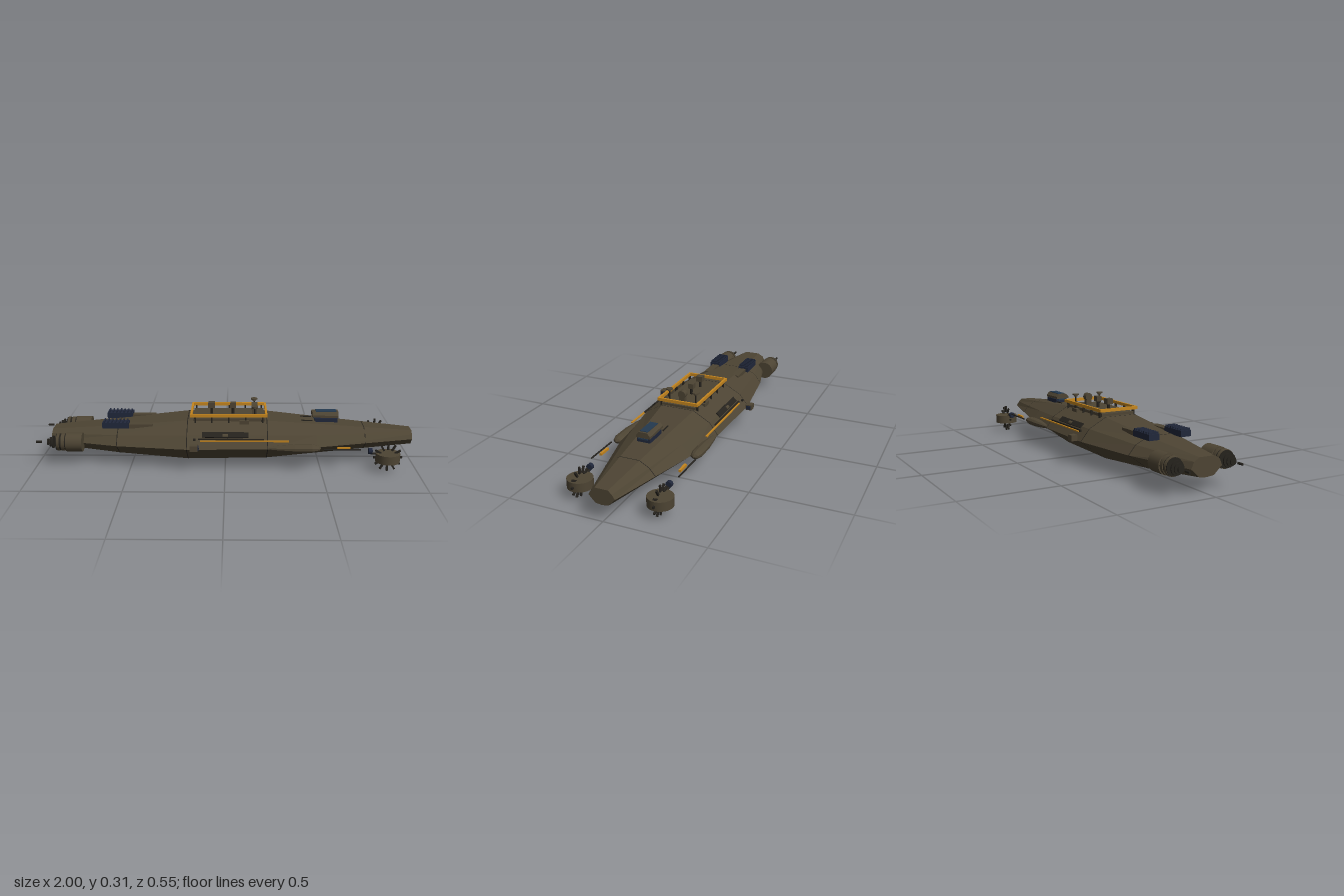
import * as THREE from 'three';

const mat = (name, hex) => Object.assign(new THREE.MeshStandardMaterial({ color: hex }), { name });

export function createModel() {
  const root = new THREE.Group();
  root.name = 'submarine';
  const hullMat = mat('olive hull', 0x4d4433);
  const trimMat = mat('dark metal', 0x25221d);
  const orangeMat = mat('orange trim', 0xc4851e);
  const navyMat = mat('navy equipment', 0x20273a);
  const glassMat = mat('blue glass', 0x24394f);

  const add = (name, geo, m, x = 0, y = 0, z = 0, parent = root) => {
    const mesh = new THREE.Mesh(geo, m);
    mesh.name = name;
    mesh.position.set(x, y, z);
    parent.add(mesh);
    return mesh;
  };
  const box = (name, m, sx, sy, sz, x, y, z) => add(name, new THREE.BoxGeometry(sx, sy, sz), m, x, y, z);
  const cylX = (name, m, r0, r1, len, x, y, z, n = 20) =>
    add(name, new THREE.CylinderGeometry(r0, r1, len, n).rotateZ(-Math.PI / 2), m, x, y, z);
  const cylY = (name, m, r, h, x, y, z, n = 20) =>
    add(name, new THREE.CylinderGeometry(r, r, h, n), m, x, y, z);

  // Faceted loft through closed rings running bottom, +z, top, -z
  function loft(rings, caps = true) {
    const p = [];
    const n = rings[0].length;
    const tri = (...v) => v.forEach((q) => p.push(...q));
    for (let i = 0; i < rings.length - 1; i++) {
      for (let j = 0; j < n; j++) {
        const k = (j + 1) % n;
        const a = rings[i][j], b = rings[i + 1][j], c = rings[i + 1][k], d = rings[i][k];
        tri(a, b, c, a, c, d);
      }
    }
    if (caps) {
      const first = rings[0], last = rings[rings.length - 1];
      for (let j = 1; j < n - 1; j++) {
        tri(first[0], first[j], first[j + 1]);
        tri(last[0], last[j + 1], last[j]);
      }
    }
    const g = new THREE.BufferGeometry();
    g.setAttribute('position', new THREE.Float32BufferAttribute(p, 3));
    g.computeVertexNormals();
    return g;
  }

  // Hull stations: x, deck half width, deck y, shoulder z, y, beam z, y, keel half width, keel y
  const stations = [
    [-0.93, 0.04, 0.17, 0.07, 0.153, 0.085, 0.12, 0.04, 0.075],
    [-0.57, 0.07, 0.2, 0.14, 0.167, 0.18, 0.12, 0.07, 0.04],
    [-0.2, 0.09, 0.235, 0.185, 0.183, 0.235, 0.122, 0.09, 0.015],
    [0.22, 0.09, 0.235, 0.18, 0.183, 0.225, 0.122, 0.09, 0.022],
    [0.48, 0.068, 0.212, 0.145, 0.173, 0.195, 0.123, 0.072, 0.044],
    [1.0, 0.033, 0.165, 0.052, 0.148, 0.066, 0.125, 0.033, 0.085],
  ];
  const ring = ([x, t, ty, s, sy, w, wy, b, by], grow = 0) => {
    const half = [[b, by + 0.005 - grow], [w + grow, wy], [s + grow, sy + grow], [t, ty + grow]];
    return [
      [x, by - grow, 0],
      ...half.map(([z, y]) => [x, y, z]),
      [x, ty + grow, 0],
      ...half.reverse().map(([z, y]) => [x, y, -z]),
    ];
  };
  const at = (x) => {
    let i = 0;
    while (i < stations.length - 2 && x > stations[i + 1][0]) i++;
    const a = stations[i], b = stations[i + 1], f = (x - a[0]) / (b[0] - a[0]);
    return a.map((v, k) => v + (b[k] - v) * f);
  };
  add('hull', loft(stations.map((s) => ring(s))), hullMat);
  // Plate seams around the hull
  for (const x of [-0.57, -0.2, 0.22, 0.74]) {
    add('hullSeam', loft([ring(at(x - 0.002), 0.001), ring(at(x + 0.002), 0.001)], false), trimMat);
  }

  // Raised bridge deck
  box('bridge', hullMat, 0.38, 0.06, 0.19, 0.018, 0.217, 0);

  // Orange rail as a frame, on short posts
  const frame = new THREE.Shape();
  frame.moveTo(-0.203, -0.113).lineTo(0.203, -0.113).lineTo(0.203, 0.113).lineTo(-0.203, 0.113).closePath();
  const gap = new THREE.Path();
  gap.moveTo(-0.192, -0.102).lineTo(-0.192, 0.102).lineTo(0.192, 0.102).lineTo(0.192, -0.102).closePath();
  frame.holes.push(gap);
  add('bridgeRail', new THREE.ExtrudeGeometry(frame, { depth: 0.016, bevelEnabled: false })
    .rotateX(-Math.PI / 2), orangeMat, 0.018, 0.259, 0);
  for (const s of [1, -1]) {
    for (let i = 0; i < 5; i++) box('railPost', trimMat, 0.008, 0.04, 0.012, -0.16 + i * 0.089, 0.242, s * 0.1);
  }

  // Bridge instruments
  box('bridgeConsole', hullMat, 0.036, 0.03, 0.036, -0.075, 0.295, 0);
  cylY('consoleStem', trimMat, 0.008, 0.04, -0.075, 0.263, 0, 10);
  box('bridgeConsole', hullMat, 0.03, 0.028, 0.03, 0.04, 0.294, 0);
  cylY('consoleStem', trimMat, 0.008, 0.04, 0.04, 0.263, 0, 10);
  cylX('searchlight', hullMat, 0.021, 0.021, 0.03, 0.155, 0.289, 0);
  box('searchlightBase', hullMat, 0.026, 0.03, 0.03, 0.155, 0.26, 0);
  for (const s of [1, -1]) {
    cylY('mastPole', trimMat, 0.004, 0.065, 0.155, 0.275, s * 0.075, 10);
    cylY('mastCollar', hullMat, 0.01, 0.005, 0.155, 0.299, s * 0.075);
    cylY('mastCap', hullMat, 0.018, 0.006, 0.155, 0.307, s * 0.075);
  }

  // Forward cabin with glazed roof
  box('cabinBase', navyMat, 0.12, 0.022, 0.07, 0.54, 0.22, 0);
  box('cabinSill', glassMat, 0.135, 0.007, 0.05, 0.54, 0.229, 0);
  const cab = (x, w, y) => [[x, y, 0], [x, y, w], [x, y + 0.012, w], [x, 0.262, w * 0.6],
    [x, 0.262, -w * 0.6], [x, y + 0.012, -w], [x, y, -w]];
  add('cabin', loft([cab(0.465, 0.037, 0.236), cab(0.605, 0.037, 0.232)]), hullMat);
  box('cabinGlass', glassMat, 0.11, 0.004, 0.042, 0.54, 0.263, 0);
  for (const s of [1, -1]) box('hatchEdge', trimMat, 0.06, 0.006, 0.005, 0.435, 0.219, s * 0.036);

  for (const s of [1, -1]) {
    // Rear battery of tubes on the deck
    box('batteryBase', navyMat, 0.14, 0.03, 0.058, -0.58, 0.212, s * 0.09);
    for (let i = 0; i < 7; i++) box('batteryFin', navyMat, 0.007, 0.012, 0.055, -0.64 + i * 0.02, 0.23, s * 0.09);
    box('batteryDuct', hullMat, 0.13, 0.022, 0.04, -0.45, 0.205, s * 0.085);

    // Side grille with orange strip
    const grille = box('sideGrille', trimMat, 0.24, 0.006, 0.03, 0, 0.187, s * 0.186);
    grille.rotation.x = s * 0.75;
    box('sideStrip', orangeMat, 0.46, 0.006, 0.009, 0.1, 0.161, s * 0.209);
    box('sideRib', trimMat, 0.34, 0.006, 0.008, 0.03, 0.168, s * 0.202);
    box('deckLocker', hullMat, 0.05, 0.02, 0.02, 0.1, 0.23, s * 0.104);
    box('cleat', trimMat, 0.012, 0.01, 0.01, -0.16, 0.17, s * 0.217);
    cylX('shoulderPort', hullMat, 0.012, 0.012, 0.03, 0.0, 0.181, s * 0.185);

    // Running light on an outrigger
    box('lampHousing', hullMat, 0.04, 0.03, 0.034, -0.16, 0.14, s * 0.26);
    box('lampGlass', navyMat, 0.006, 0.02, 0.024, -0.138, 0.14, s * 0.26);

    // Side pod
    const pod = [[0.2, 0.006], [0.27, 0.017], [0.36, 0.026], [0.45, 0.027], [0.485, 0.018], [0.497, 0.001]];
    const podRing = ([x, r]) => Array.from({ length: 10 }, (_, j) => {
      const a = (j / 10) * Math.PI * 2;
      return [x, 0.124 - r * 0.8 * Math.cos(a), s * 0.212 + r * 1.1 * Math.sin(a)];
    });
    add('sidePod', loft(pod.map(podRing)), hullMat);

    // Long probe and orange bar ahead of the pod
    cylX('probe', trimMat, 0.004, 0.004, 0.19, 0.605, 0.125, s * 0.23, 8);
    box('probeBar', orangeMat, 0.068, 0.012, 0.012, 0.615, 0.125, s * 0.21);

    // Forward drum with a wheel of studs
    cylY('drum', hullMat, 0.063, 0.046, 0.845, 0.076, s * 0.207, 24);
    for (let i = 0; i < 12; i++) {
      const a = (i / 12) * Math.PI * 2;
      const stud = box('drumStud', trimMat, 0.01, 0.034, 0.009,
        0.845 - Math.sin(a) * 0.058, 0.076 + Math.cos(a) * 0.058, s * 0.207);
      stud.rotation.z = a;
    }
    cylX('drumMotor', navyMat, 0.016, 0.016, 0.02, 0.753, 0.11, s * 0.207, 12);
    cylX('drumShaft', trimMat, 0.006, 0.006, 0.05, 0.782, 0.095, s * 0.207, 8);

    // Stern thruster with stacked rings and a tail spike
    const z = s * 0.143;
    cylX('thruster', hullMat, 0.05, 0.05, 0.085, -0.794, 0.13, z, 24);
    cylX('thrusterSleeve', trimMat, 0.043, 0.043, 0.08, -0.85, 0.13, z, 24);
    cylX('thrusterRing', hullMat, 0.047, 0.047, 0.018, -0.852, 0.13, z, 24);
    cylX('thrusterRing', hullMat, 0.047, 0.045, 0.014, -0.878, 0.13, z, 24);
    cylX('nozzleDisc', trimMat, 0.034, 0.034, 0.006, -0.908, 0.13, z);
    cylX('nozzleDisc', trimMat, 0.026, 0.026, 0.006, -0.922, 0.13, z);
    cylX('nozzleDisc', trimMat, 0.017, 0.017, 0.006, -0.936, 0.13, z);
    cylX('tailSpike', trimMat, 0.006, 0.006, 0.03, -0.985, 0.13, z, 8);
  }
  return root;
}
